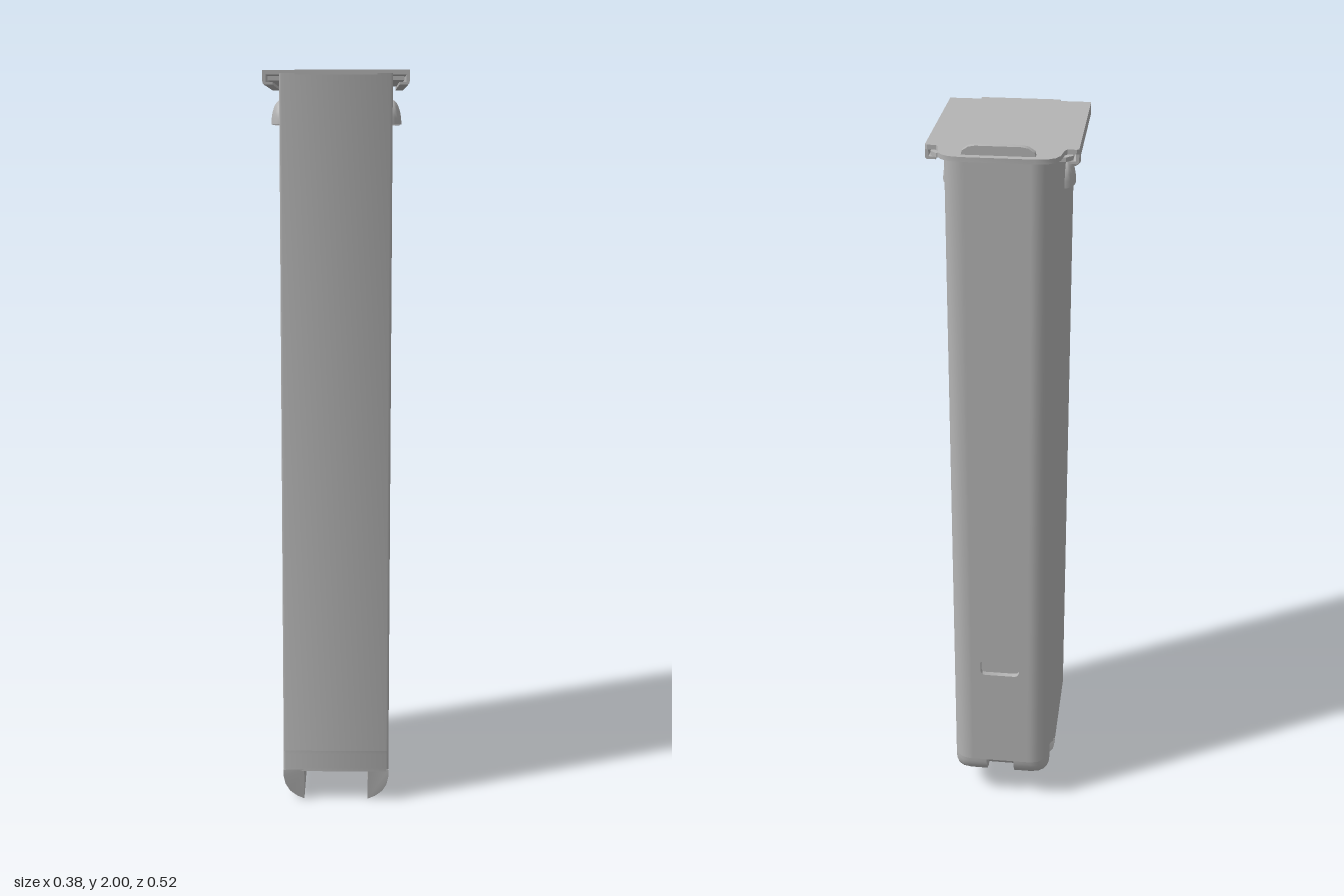
import * as THREE from 'three';
import { toCreasedNormals } from 'three/addons/utils/BufferGeometryUtils.js';

const steel = new THREE.MeshStandardMaterial({ color: 0xb4b4b4, side: THREE.DoubleSide });
steel.name = 'grey steel';

const shapeOf = (pts) => new THREE.Shape(pts.map(([x, y]) => new THREE.Vector2(x, y)));

// Half outline (x, z) from front to back, mirrored into a closed loop
const mirrored = (half) => [...half, ...half.map(([x, z]) => [-x, z]).reverse()];

// Extrude an (x, z) outline upward from y0 to y1
function upright(pts, y0, y1, steps = 1) {
  const g = new THREE.ExtrudeGeometry(shapeOf(pts.map(([x, z]) => [x, -z])),
    { depth: y1 - y0, steps, bevelEnabled: false });
  return g.rotateX(-Math.PI / 2).translate(0, y0, 0);
}

// Extrude an (x, y) outline from z0 to z1
function along(pts, z0, z1) {
  const g = new THREE.ExtrudeGeometry(shapeOf(pts), { depth: z1 - z0, bevelEnabled: false });
  return g.translate(0, 0, z0);
}

function moveVertices(g, rule) {
  const p = g.attributes.position;
  const v = new THREE.Vector3();
  for (let i = 0; i < p.count; i++) {
    rule(v.fromBufferAttribute(p, i));
    p.setXYZ(i, v.x, v.y, v.z);
  }
  return g;
}

export function createModel() {
  const group = new THREE.Group();
  const add = (name, geometry) => {
    const mesh = new THREE.Mesh(toCreasedNormals(geometry, 0.55), steel);
    mesh.name = name;
    group.add(mesh);
    return mesh;
  };

  // Case: wide front, shallow step, rounded back with a recess in its middle
  const caseOutline = (recessX, recessZ) => mirrored([
    [0.138, 0.26], [0.143, 0.258], [0.145, 0.253], [0.145, -0.06], [0.142, -0.07],
    [0.135, -0.078], [0.133, -0.09], [0.138, -0.19], [0.135, -0.21], [0.127, -0.23],
    [0.112, -0.244], [0.09, -0.25], [recessX, -0.25], [recessX, recessZ],
  ]);
  const splitY = 0.145, floorY = 0.085;
  add('case', upright(caseOutline(0.08, -0.235), splitY, 1.968));

  // Case foot: back edge curls under, with a central notch
  add('caseFoot', moveVertices(upright(caseOutline(0.04, -0.215), floorY, splitY, 6), (v) => {
    const t = (splitY - v.y) / (splitY - floorY);
    const curl = 1 - 0.28 * (1 - Math.sqrt(Math.max(0, 1 - t * t)));
    if (v.z < -0.08) v.z = -0.08 + (v.z + 0.08) * curl;
  }));

  // Back plate with a rounded slot
  const plate = shapeOf([[-0.08, splitY], [0.08, splitY], [0.08, 1.968], [-0.08, 1.968]]);
  const slot = new THREE.Path();
  const w = 0.055, h = 0.026, r = 0.014, cy = 0.48;
  slot.absarc(w - r, cy + h - r, r, 0, Math.PI / 2);
  slot.absarc(-w + r, cy + h - r, r, Math.PI / 2, Math.PI);
  slot.absarc(-w + r, cy - h + r, r, Math.PI, Math.PI * 1.5);
  slot.absarc(w - r, cy - h + r, r, Math.PI * 1.5, Math.PI * 2);
  plate.holes.push(slot);
  add('backPlate', new THREE.ExtrudeGeometry(plate,
    { depth: 0.015, bevelEnabled: false, curveSegments: 4 }).translate(0, 0, -0.25));

  // Sliding lid
  add('lid', upright(mirrored([
    [0.105, 0.262], [0.105, 0.247], [0.188, 0.247], [0.188, -0.17], [0.182, -0.174],
    [0.16, -0.174], [0.154, -0.185], [0.148, -0.227], [0.138, -0.245], [0.12, -0.257],
    [0.09, -0.262],
  ]), 1.965, 1.977));

  // Raised grip ridge on the lid
  add('gripRidge', along([
    [-0.09, 1.976], [-0.087, 1.987], [-0.072, 1.997], [-0.055, 2.0],
    [0.055, 2.0], [0.072, 1.997], [0.087, 1.987], [0.09, 1.976],
  ], -0.243, -0.225));

  for (const s of [1, -1]) {
    const side = (pts) => pts.map(([x, y]) => [x * s, y]);

    // Folded lid rail that hooks under the case rim
    add('lidRail', along(side([
      [0.188, 1.968], [0.188, 1.944], [0.184, 1.94], [0.162, 1.94], [0.162, 1.947],
      [0.18, 1.947], [0.18, 1.968],
    ]), -0.17, 0.247));

    // Case rim
    add('caseRim', upright(side([
      [0.13, 0.247], [0.174, 0.247], [0.174, -0.175], [0.165, -0.182], [0.158, -0.191],
      [0.13, -0.191],
    ]), 1.951, 1.962));

    // Rounded foot lip, drawn in at both ends towards the bottom
    add('footLip', moveVertices(along(side([
      [0.088, 0.09], [0.145, 0.09], [0.145, 0.07], [0.14, 0.046], [0.128, 0.025],
      [0.108, 0.009], [0.088, 0],
    ]), -0.068, 0.26), (v) => {
      const drop = Math.max(0, 0.07 - v.y);
      v.z -= Math.sign(v.z) * drop * (v.z > 0 ? 0.16 : 0.3);
    }));

    // Pressed half-dome stops, open underneath
    for (const z of [0.168, -0.006]) {
      const dome = new THREE.SphereGeometry(1, 10, 6, Math.PI / 2, Math.PI, 0, Math.PI / 2);
      dome.scale(0.026, 0.064, 0.054);
      if (s < 0) dome.rotateY(Math.PI);
      add('sideStop', dome.translate(s * 0.144, 1.841, z));
    }
  }
  return group;
}
